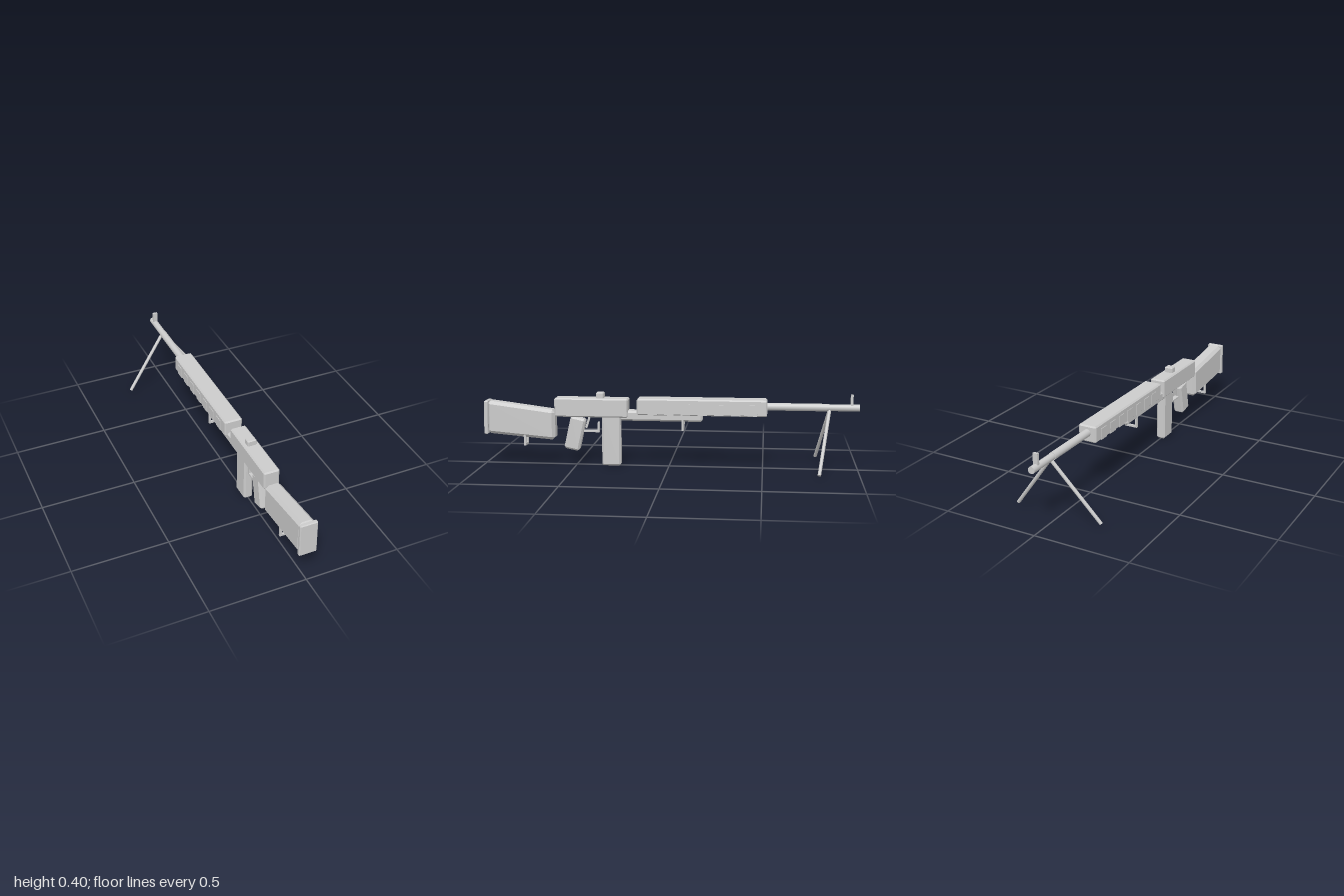
import * as THREE from 'three';
import { ConvexGeometry } from 'three/addons/geometries/ConvexGeometry.js';

const grey = new THREE.MeshStandardMaterial({ color: 0xcccccc });

// Box with every edge cut at 45 degrees by c
function chamferBox(w, h, d, c) {
  const points = [];
  const half = [w / 2, h / 2, d / 2];
  for (const sx of [-1, 1]) for (const sy of [-1, 1]) for (const sz of [-1, 1]) {
    for (let full = 0; full < 3; full++) {
      const p = half.map((v, i) => (i === full ? v : v - c));
      points.push(new THREE.Vector3(sx * p[0], sy * p[1], sz * p[2]));
    }
  }
  return new ConvexGeometry(points);
}

export function createModel() {
  const model = new THREE.Group();

  function add(name, geometry, x = 0, y = 0, z = 0, tilt = 0, parent = model) {
    const mesh = new THREE.Mesh(geometry, grey);
    mesh.name = name;
    mesh.position.set(x, y, z);
    mesh.rotation.x = tilt;
    parent.add(mesh);
    return mesh;
  }

  // Block given by its width and its y and z limits
  function block(name, w, y0, y1, z0, z1, c) {
    return add(name, chamferBox(w, y1 - y0, z1 - z0, c), 0, (y0 + y1) / 2, (z0 + z1) / 2);
  }

  // Round rod between two points
  function rod(name, from, to, radius, sides = 16, parent = model) {
    const a = new THREE.Vector3(...from), b = new THREE.Vector3(...to);
    const dir = b.clone().sub(a);
    const mesh = add(name, new THREE.CylinderGeometry(radius, radius, dir.length(), sides), 0, 0, 0, 0, parent);
    mesh.position.copy(a).add(b).multiplyScalar(0.5);
    mesh.quaternion.setFromUnitVectors(new THREE.Vector3(0, 1, 0), dir.normalize());
    return mesh;
  }

  // Main body
  block('receiver', 0.084, 0.265, 0.366, 0.217, 0.613, 0.007);
  block('handguard', 0.098, 0.283, 0.37, -0.52, 0.168, 0.007);
  block('underBarrelTube', 0.068, 0.248, 0.302, -0.18, 0.26, 0.01);
  block('magazine', 0.05, 0, 0.29, 0.258, 0.36, 0.009);
  block('rearSight', 0.048, 0.355, 0.396, 0.348, 0.39, 0.005);

  // Stock: drops and deepens towards the rear
  const stock = chamferBox(0.082, 1, 0.37, 0.016);
  const pos = stock.attributes.position;
  for (let i = 0; i < pos.count; i++) {
    const t = (pos.getZ(i) + 0.185) / 0.37;
    const centre = 0.217 + 0.04 * t;
    const height = 0.162 + 0.016 * t;
    const y = pos.getY(i), inset = 0.5 - Math.abs(y);
    pos.setY(i, centre + Math.sign(y) * (height / 2 - inset));
  }
  stock.computeVertexNormals();
  add('stock', stock, 0, 0, 0.797);
  add('buttPlate', chamferBox(0.092, 0.18, 0.022, 0.004), 0, 0.255, 0.986, -0.02);

  // Grip, trigger and guard
  add('grip', chamferBox(0.06, 0.178, 0.083, 0.01), 0, 0.171, 0.506, -0.22);
  add('triggerGuardBar', new THREE.BoxGeometry(0.026, 0.009, 0.085), 0, 0.184, 0.417);
  add('triggerGuardPost', new THREE.BoxGeometry(0.026, 0.055, 0.009), 0, 0.206, 0.379);
  add('trigger', new THREE.BoxGeometry(0.014, 0.07, 0.011), 0, 0.235, 0.437, -0.3);

  // Raised vent panels on both sides of the handguard
  for (const side of [-1, 1]) {
    for (let i = 0; i < 7; i++) {
      add('vent', new THREE.BoxGeometry(0.006, 0.058, 0.05), side * 0.0488, 0.315, 0.085 - i * 0.088);
    }
  }

  // Barrel and front sight
  rod('barrel', [0, 0.332, -0.5], [0, 0.332, -1], 0.018, 24);
  rod('barrelSleeve', [0, 0.332, -0.5], [0, 0.332, -0.83], 0.02, 24);
  add('frontSight', new THREE.BoxGeometry(0.026, 0.062, 0.013), 0, 0.371, -0.959);

  // Bipod
  const bipod = new THREE.Group();
  bipod.name = 'bipod';
  model.add(bipod);
  for (const side of [-1, 1]) {
    rod('bipodLeg', [0, 0.325, -0.845], [side * 0.233, 0.021, -0.788], 0.009, 16, bipod);
  }

  // Sling loops under the stock and the tube
  function slingLoop(name, top, bottom, z) {
    const loop = new THREE.Group();
    loop.name = name;
    model.add(loop);
    add('loopBar', new THREE.BoxGeometry(0.07, 0.011, 0.012), 0, bottom + 0.0055, z, 0, loop);
    for (const side of [-1, 1]) {
      add('loopPost', new THREE.BoxGeometry(0.011, top - bottom, 0.012), side * 0.0295, (top + bottom) / 2, z, 0, loop);
    }
  }
  slingLoop('rearSlingLoop', 0.165, 0.103, 0.778);
  slingLoop('frontSlingLoop', 0.262, 0.2, -0.075);

  return model;
}
